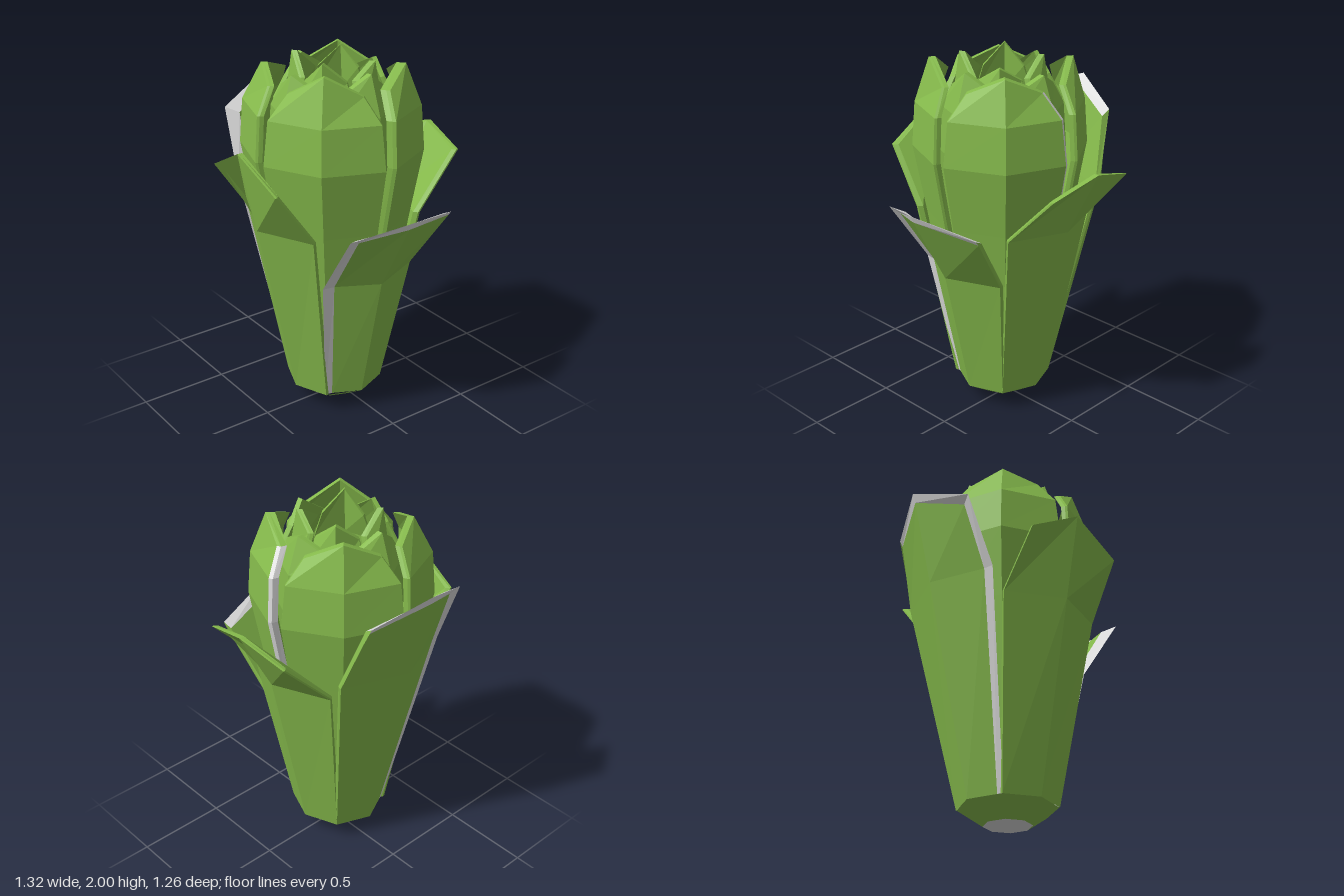
import * as THREE from 'three';

const green = new THREE.MeshStandardMaterial({ color: 0x86bb4c });
green.name = 'leafGreen';
const white = new THREE.MeshStandardMaterial({ color: 0xdcdcdc });
white.name = 'paleStalk';

const AXIS_Z = 0.04; // the plant's axis sits slightly forward

function flatMesh(name, positions, material) {
  const g = new THREE.BufferGeometry();
  g.setAttribute('position', new THREE.Float32BufferAttribute(positions, 3));
  g.computeVertexNormals();
  const m = new THREE.Mesh(g, material);
  m.name = name;
  return m;
}

function quad(out, a, b, c, d) {
  for (const p of [a, b, c, a, c, d]) out.push(...p);
}

// A folded leaf. Each row: edge height, edge radius, left and right width, centre height, centre radius.
// lip: how far a pale border stands out on the left, right and top edges (0 = plain green edge).
function leaf(name, degrees, rows, { thick = 0.03, lipL = 0, lipR = 0, lipT = 0, taper = 0.97 } = {}) {
  const a = THREE.MathUtils.degToRad(degrees), s = Math.sin(a), c = Math.cos(a);
  const at = (u, w, y) => [s * u + c * w, y, AXIS_Z + c * u - s * w];
  const last = rows.length - 1;
  const outer = [], ridge = [], inner = [];
  rows.forEach(([ye, ue, wl, wr, yc, uc], i) => {
    const k = 0.6 + 0.4 * Math.min(1, i), top = i === last ? lipT : 0;
    const out = top ? 0.03 : 0;
    outer.push([at(ue, wl, ye), at(uc, 0, yc), at(ue, wr, ye)]);
    ridge.push([
      at(ue - thick * 0.4 + out, wl - lipL * k, ye + top * 0.6),
      at(uc - thick * 0.4 + out, 0, yc + top),
      at(ue - thick * 0.4 + out, wr + lipR * k, ye + top * 0.6)]);
    inner.push([at(ue - thick, wl * taper, ye), at(uc - thick, 0, yc), at(ue - thick, wr * taper, ye)]);
  });

  const faces = [], border = [];
  for (let i = 0; i < last; i++) {
    for (let j = 0; j < 2; j++) {
      quad(faces, outer[i][j], outer[i][j + 1], outer[i + 1][j + 1], outer[i + 1][j]);
      quad(faces, inner[i][j + 1], inner[i][j], inner[i + 1][j], inner[i + 1][j + 1]);
    }
    // side edges
    const L = lipL ? border : faces, R = lipR ? border : faces;
    quad(L, ridge[i][0], outer[i][0], outer[i + 1][0], ridge[i + 1][0]);
    quad(L, inner[i][0], ridge[i][0], ridge[i + 1][0], inner[i + 1][0]);
    quad(R, outer[i][2], ridge[i][2], ridge[i + 1][2], outer[i + 1][2]);
    quad(R, ridge[i][2], inner[i][2], inner[i + 1][2], ridge[i + 1][2]);
  }
  // top edge
  const T = lipT ? border : faces;
  for (let j = 0; j < 2; j++) {
    quad(T, outer[last][j], outer[last][j + 1], ridge[last][j + 1], ridge[last][j]);
    quad(T, ridge[last][j], ridge[last][j + 1], inner[last][j + 1], inner[last][j]);
  }

  const group = new THREE.Group();
  group.name = name;
  group.add(flatMesh(name + 'Blade', faces, green));
  if (border.length) group.add(flatMesh(name + 'Border', border, white));
  return group;
}

// Rows of a cupped upright heart leaf: widest at y = 1.5, closing toward the tip
function cupped(edge, width, centre, tipEdge, tipWidth, tipCentre, edgeTop, tipTop, base) {
  const row = (y, k) => [y, edge * k, -width * k, width * k, y, centre * k];
  return [
    row(0.11, base),
    row(1.13, 0.86),
    row(1.5, 1),
    [1.74, edge * 0.97, -width * 0.92, width * 0.92, 1.74, centre * 0.96],
    [edgeTop, tipEdge, -tipWidth, tipWidth, tipTop, tipCentre],
  ];
}

// Eight-sided shallow surface of revolution around the plant's axis
function octagon(name, profile, material) {
  const g = new THREE.LatheGeometry(profile.map(([r, y]) => new THREE.Vector2(r, y)), 8).toNonIndexed();
  g.computeVertexNormals();
  const m = new THREE.Mesh(g, material);
  m.name = name;
  m.position.z = AXIS_Z;
  return m;
}

export function createModel() {
  const model = new THREE.Group();
  model.name = 'leafyVegetable';

  // base of the stalk and the pale floor inside
  model.add(octagon('stalkBase', [[0.13, 0.02], [0.265, 0.11]], green));
  model.add(octagon('stalkCut', [[0, 0], [0.13, 0.02]], white));
  model.add(octagon('heartFloor', [[0.25, 0.13], [0, 0.09]].reverse(), white).translateY(0));
  model.getObjectByName('heartFloor').material = white;
  const floor = model.getObjectByName('heartFloor');
  floor.geometry.scale(1, 1, -1); // mirrored so the floor faces up
  floor.geometry.computeVertexNormals();

  // four open outer leaves
  const foot = [0.11, 0.19, -0.19, 0.19, 0.11, 0.265];
  model.add(leaf('frontOuterLeaf', 0, [
    foot,
    [1.13, 0.35, -0.31, 0.31, 1.13, 0.49],
    [1.43, 0.56, -0.29, 0.29, 1.58, 0.59],
  ], { taper: 0.93 }));
  model.add(leaf('backOuterLeaf', 180, [
    foot,
    [1.13, 0.35, -0.31, 0.31, 1.13, 0.48],
    [1.42, 0.63, -0.285, 0.28, 1.5, 0.675],
  ], { taper: 0.93 }));
  model.add(leaf('leftOuterLeaf', 90, [
    [0.11, 0.19, -0.15, 0.19, 0.11, 0.265],
    [0.85, 0.31, -0.22, 0.29, 0.85, 0.43],
    [1.19, 0.53, -0.23, 0.36, 1.24, 0.64],
  ], { lipL: 0.065, lipT: 0.04 }));
  model.add(leaf('rightOuterLeaf', -90, [
    [0.11, 0.19, -0.19, 0.15, 0.11, 0.265],
    [1.25, 0.4, -0.36, 0.3, 1.25, 0.53],
    [1.6, 0.52, -0.29, 0.28, 1.7, 0.64],
  ], { lipR: 0.055, lipT: 0.05 }));

  // four large cupped leaves on the diagonals
  [[-43, 0.5, 1.94], [47, 0.475, 1.98], [137, 0.48, 1.96], [230, 0.46, 1.97]].forEach(([deg, centre, tip], i) => {
    model.add(leaf('cuppedLeaf' + (i + 1), deg,
      cupped(0.36, 0.31, centre, 0.31, 0.19, 0.375, 1.87, tip, 0.5),
      { lipR: i === 2 ? 0.008 : 0, thick: i === 2 ? 0.05 : 0.035 }));
  });

  // middle ring, filling the gaps
  [[8, 1.94], [95, 1.95], [182, 1.93], [273, 1.95]].forEach(([deg, tip], i) => {
    model.add(leaf('middleLeaf' + (i + 1), deg,
      cupped(0.27, 0.21, 0.375, 0.24, 0.13, 0.29, 1.86, tip, 0.55)));
  });

  // small heart leaves around the open centre
  [[-50, 2], [40, 2], [132, 1.97], [222, 1.99]].forEach(([deg, tip], i) => {
    model.add(leaf('heartLeaf' + (i + 1), deg,
      cupped(0.19, 0.17, 0.27, 0.15, 0.11, 0.22, 1.89, tip, 0.75)));
  });

  // orient open shells correctly
  for (const name of ['stalkBase', 'stalkCut', 'heartFloor']) {
    const o = model.getObjectByName(name);
    const n = o.geometry.attributes.normal, wantUp = name === 'heartFloor';
    let sum = 0;
    for (let i = 0; i < n.count; i++) sum += n.getY(i);
    if (sum > 0 !== wantUp) {
      const idx = Array.from({ length: n.count }, (_, i) => i - (i % 3) + [0, 2, 1][i % 3]);
      o.geometry.setIndex(idx);
      o.geometry = o.geometry.toNonIndexed();
      o.geometry.computeVertexNormals();
    }
  }
  return model;
}
